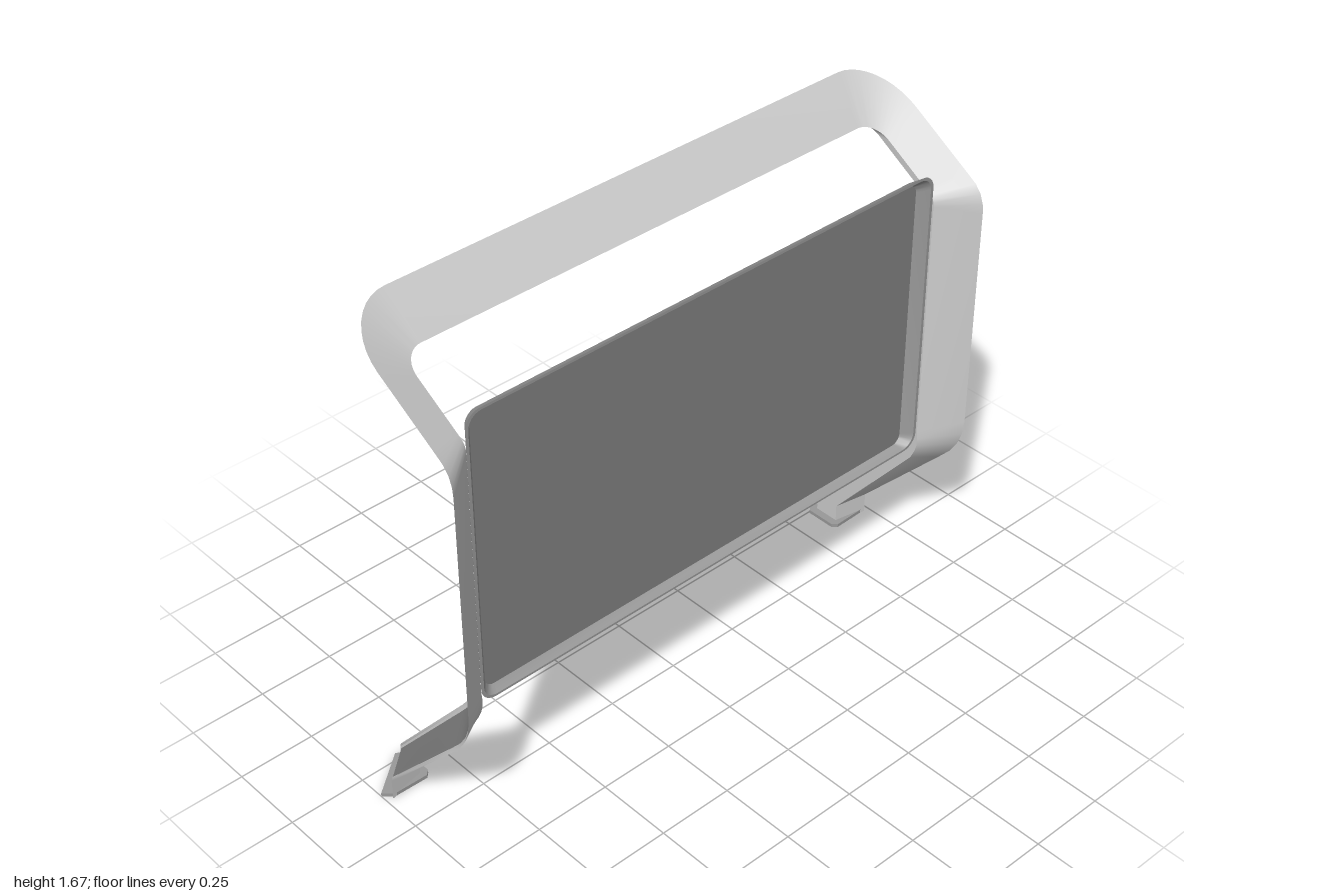
import * as THREE from 'three';
import { toCreasedNormals } from 'three/addons/utils/BufferGeometryUtils.js';

const paint = (color, side = THREE.FrontSide) => new THREE.MeshStandardMaterial({ color, side });
const metal = paint(0xcccccc, THREE.DoubleSide);
const rimMetal = paint(0x999999, THREE.DoubleSide);
const darkMetal = paint(0x808080, THREE.DoubleSide);
const slotGrey = paint(0xa8a8a8);
const panelGrey = paint(0x808080, THREE.DoubleSide);

// Skin a list of rings (arrays of [x, y, z], clockwise about the path); join last to first or cap the ends
function loft(rings, closed = false) {
  const n = rings[0].length, index = [];
  const steps = closed ? rings.length : rings.length - 1;
  for (let i = 0; i < steps; i++) {
    for (let j = 0; j < n; j++) {
      const k = (j + 1) % n, next = ((i + 1) % rings.length) * n;
      const a = i * n + j, b = i * n + k, c = next + j, d = next + k;
      index.push(a, c, b, b, c, d);
    }
  }
  if (!closed) {
    const end = (rings.length - 1) * n;
    for (let j = 2; j < n; j++) {
      const k = (j + 1) % n;
      index.push(1, j, k, end + 1, end + k, end + j);
    }
  }
  const geo = new THREE.BufferGeometry();
  geo.setAttribute('position', new THREE.Float32BufferAttribute(rings.flat(2), 3));
  geo.setIndex(index);
  return toCreasedNormals(geo, 0.6);
}

// One rail of the band: side profile [z, y] at constant x, then a rounded corner into the top bar
function rail(x, profile, r, top, back, rise, run) {
  const pts = profile.map(([z, y]) => [x, y, z]);
  for (let i = 0; i <= 10; i++) {
    const a = (i / 10) * Math.PI / 2, s = 1 - Math.sin(a);
    pts.push([x - r * (1 - Math.cos(a)), top - rise * s, back + run * s]);
  }
  return pts;
}

// Point on the band's back face: t runs from inner to outer edge, depth sinks it into the band
function backPoint(inner, outer, t, depth) {
  const p = inner.map((v, i) => v + (outer[i] - v) * t);
  p[2] += depth * (1 - t);
  return p;
}

// Rounded rectangle ring, counter-clockwise seen from the front
function roundedRing(hw, y0, y1, r, z) {
  const pts = [];
  const corners = [[hw - r, y1 - r], [r - hw, y1 - r], [r - hw, y0 + r], [hw - r, y0 + r]];
  corners.forEach(([cx, cy], q) => {
    for (let i = 0; i <= 6; i++) {
      const a = (q + i / 6) * Math.PI / 2;
      pts.push([cx + r * Math.cos(a), cy + r * Math.sin(a), z]);
    }
  });
  return pts;
}

function flatShape(ring) {
  return new THREE.Shape(ring.map(([x, y]) => new THREE.Vector2(x, y)));
}

// Mirror a path of rings to the other side, keeping faces outward
const mirrorPath = rings => rings.map(ring => ring.map(([x, y, z]) => [-x, y, z])).reverse();

function add(parent, name, geo, mat = metal) {
  const mesh = new THREE.Mesh(geo, mat);
  mesh.name = name;
  parent.add(mesh);
  return mesh;
}

export function createModel() {
  const model = new THREE.Group();
  model.name = 'panelStand';

  // Continuous wedge-section band: legs, posts and leaned-back top bar, with a shallow channel behind
  const outer = rail(0.98, [
    [-0.13, 0], [-0.13, 0.07], [0.17, 0.395], [0.21, 0.44], [0.238, 0.485], [0.254, 0.53], [0.26, 0.58],
    [0.26, 1.33], [0.257, 1.36], [0.246, 1.39], [0.225, 1.415], [0.19, 1.437],
  ], 0.16, 1.67, -0.19, 0.105, 0.17);
  const inner = rail(0.865, [
    [-0.235, 0], [-0.235, 0.07], [0.08, 0.44], [0.105, 0.472], [0.12, 0.497], [0.128, 0.523], [0.13, 0.55],
    [0.13, 1.36], [0.129, 1.373], [0.125, 1.384], [0.116, 1.394], [0.1, 1.405],
  ], 0.065, 1.54, -0.12, 0.04, 0.065);
  // The inner edge is thicker down the legs
  const thickness = [0.085, 0.085, 0.07, 0.06, 0.052, 0.045];
  const channel = [[0.08, 0], [0.11, 0.014], [0.87, 0.014], [0.9, 0]];
  const half = outer.map((o, i) => {
    const [x, y, z] = inner[i];
    return [o, [x, y, z + (thickness[i] ?? 0.04)], [x, y, z],
      ...channel.map(([t, d]) => backPoint(inner[i], o, t, d))];
  });
  add(model, 'frameBand', loft([...half, ...mirrorPath(half)]));

  // Darker liner in the channel of each leg and post
  const linerSection = [[0.1, 0.007], [0.88, 0.007], [0.88, 0.018], [0.1, 0.018]];
  const liner = outer.slice(1, 11).map((o, i) =>
    linerSection.map(([t, d]) => backPoint(inner[i + 1], o, t, d)));
  add(model, 'leftLiner', loft(liner), darkMetal);
  add(model, 'rightLiner', loft(mirrorPath(liner)), darkMetal);

  // Sloping tray rim around the panel
  add(model, 'trayRim', loft([
    roundedRing(0.862, 0.5, 1.475, 0.05, 0.167),
    roundedRing(0.835, 0.508, 1.45, 0.04, 0.13),
    roundedRing(0.82, 0.515, 1.437, 0.03, 0.13),
    roundedRing(0.852, 0.507, 1.467, 0.045, 0.167),
  ], true), rimMetal);

  // Flat panel
  const panel = add(model, 'panel',
    new THREE.ShapeGeometry(flatShape(roundedRing(0.828, 0.512, 1.442, 0.035, 0))), panelGrey);
  panel.position.z = 0.135;

  // Details on the back face of each post: [name, half width, half height, radius, y, material]
  const details = [
    ['RoundButton', 0.043, 0.043, 0.042, 1.1, metal],
    ['LongSlot', 0.043, 0.125, 0.035, 0.905, slotGrey],
    ['SmallPort', 0.027, 0.012, 0.004, 0.585, slotGrey],
  ];
  for (const side of [-1, 1]) {
    const name = side > 0 ? 'left' : 'right';
    for (const [part, hw, hh, r, y, mat] of details) {
      const geo = new THREE.ExtrudeGeometry(flatShape(roundedRing(hw, -hh, hh, r, 0)),
        { depth: 0.008, bevelEnabled: false });
      geo.translate(0, 0, -0.007);
      const mesh = add(model, name + part, geo, mat);
      mesh.position.set(side * 0.9225, y, 0.195);
      mesh.rotation.y = Math.atan2(side * 0.13, -0.115);
    }

    // Thin triangular foot plate with clipped corners
    const plan = [[1, -0.16], [0.972, -0.133], [0.855, -0.13], [0.84, -0.145], [0.84, -0.245], [0.868, -0.265]];
    const shape = new THREE.Shape(plan.map(([x, z]) => new THREE.Vector2(side * x, -z)));
    const plate = add(model, name + 'FootPlate',
      new THREE.ExtrudeGeometry(shape, { depth: 0.012, bevelEnabled: false }), rimMetal);
    plate.rotation.x = -Math.PI / 2;
  }
  return model;
}
